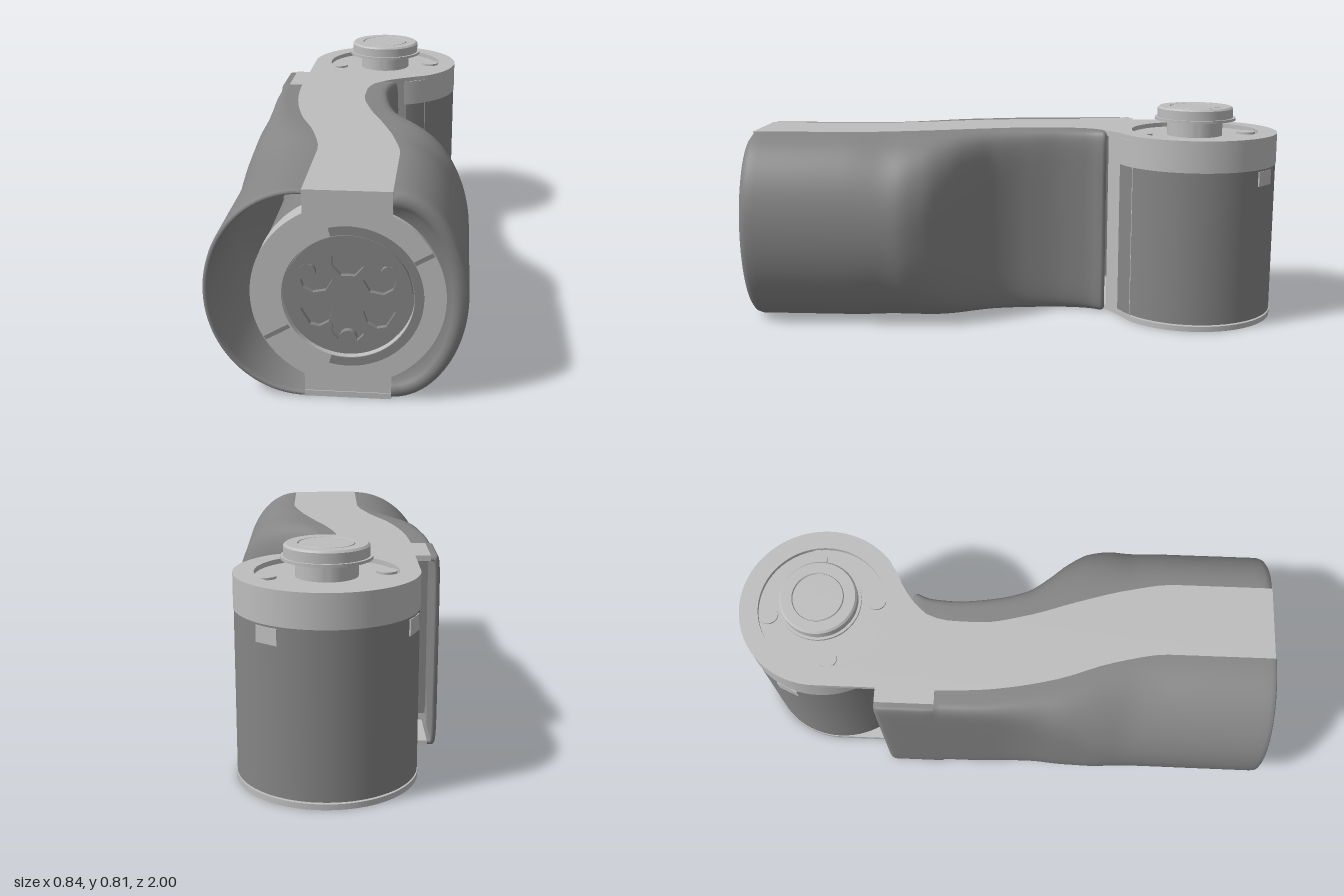
import * as THREE from 'three';
import { toCreasedNormals } from 'three/addons/utils/BufferGeometryUtils.js';

const mat = (name, color, side = THREE.FrontSide) => {
  const m = new THREE.MeshStandardMaterial({ color, side });
  m.name = name;
  return m;
};
const light = mat('light grey frame', 0xbdbdbd);
const dark = mat('mid grey', 0x858585);
const shellGrey = mat('mid grey shell', 0x858585, THREE.DoubleSide);

const MID = 0.356, TOP = 0.712;          // body mid height and top
const RX = 0.04, RZ = -0.69, R = 0.31;   // rear motor axis and motor radius

// Smooth curve through [z, value] pairs, without overshoot
function curve(table) {
  const n = table.length;
  const d = (i) => (table[i + 1][1] - table[i][1]) / (table[i + 1][0] - table[i][0]);
  const slope = (i) => (i === 0 || i === n - 1 || d(i - 1) * d(i) <= 0 ? 0 : 2 * d(i - 1) * d(i) / (d(i - 1) + d(i)));
  return (z) => {
    if (z <= table[0][0]) return table[0][1];
    if (z >= table[n - 1][0]) return table[n - 1][1];
    let i = 0;
    while (z > table[i + 1][0]) i++;
    const h = table[i + 1][0] - table[i][0], t = (z - table[i][0]) / h;
    const a = 2 * t ** 3 - 3 * t * t + 1, b = t ** 3 - 2 * t * t + t, c = t ** 3 - t * t;
    return a * table[i][1] + (1 - a) * table[i + 1][1] + h * (b * slope(i) + c * slope(i + 1));
  };
}

// Plan-view edges of the spine, outer silhouettes and section squareness
const spineRight = curve([[-0.36, 0.085], [-0.32, 0.035], [-0.21, 0.002], [-0.1, 0], [0.08, 0.035], [0.26, 0.095], [0.45, 0.15], [0.63, 0.18], [1, 0.18]]);
const spineLeft = curve([[-0.25, -0.272], [-0.1, -0.265], [0.02, -0.25], [0.2, -0.21], [0.4, -0.14], [0.61, -0.1], [1, -0.1]]);
const outerRight = curve([[-0.355, 0.125], [-0.29, 0.105], [-0.19, 0.1], [-0.05, 0.12], [0.07, 0.165], [0.16, 0.245], [0.23, 0.32], [0.32, 0.39], [0.42, 0.42], [1, 0.42]]);
const outerLeft = curve([[-0.47, -0.36], [0, -0.362], [0.1, -0.37], [0.26, -0.4], [0.4, -0.42], [1, -0.422]]);
const squareness = curve([[-0.15, 8], [0.15, 4], [0.5, 2], [1, 2]]);

// Shell lofted through [z, inset] stations; the inset folds the rims inward
function shell(stations, inner, outer) {
  const SEG = 48, pos = [], idx = [];
  stations.forEach(([z, inset], s) => {
    const xs = inner(z), w = outer(z) - xs, p = 2 / squareness(z);
    const a = Math.sign(w) * Math.max(Math.abs(w) - inset, 0.003), b = MID - inset;
    for (let i = 0; i <= SEG; i++) {
      const t = Math.PI * (0.5 - i / SEG), c = Math.max(Math.cos(t), 0), sn = Math.sin(t);
      pos.push(xs + a * c ** p, MID + b * Math.sign(sn) * Math.abs(sn) ** p, z);
      if (s && i) {
        const k = s * (SEG + 1) + i, j = k - SEG - 1;
        if (w > 0) idx.push(j - 1, j, k, j - 1, k, k - 1);
        else idx.push(j - 1, k, j, j - 1, k - 1, k);
      }
    }
  });
  const g = new THREE.BufferGeometry();
  g.setAttribute('position', new THREE.Float32BufferAttribute(pos, 3));
  g.setIndex(idx);
  g.computeVertexNormals();
  return g;
}
const range = (from, to, n) => Array.from({ length: n + 1 }, (_, i) => [from + (to - from) * i / n, 0]);

const extrude = (shape, depth) =>
  toCreasedNormals(new THREE.ExtrudeGeometry(shape, { depth, bevelEnabled: false, curveSegments: 64 }), 0.5);
const circlePath = (x, y, r) => new THREE.Path().absarc(x, y, r, 0, Math.PI * 2, true);

function add(parent, name, geometry, material, x = 0, y = 0, z = 0) {
  const m = new THREE.Mesh(geometry, material);
  m.name = name;
  m.position.set(x, y, z);
  parent.add(m);
  return m;
}
const disc = (r, h) => new THREE.CylinderGeometry(r, r, h, 72);

// Spine plate seen from above, ending in the round rear motor seat
function spinePlate(hole) {
  const s = new THREE.Shape();
  s.moveTo(-0.1, 0.995);
  for (let z = 0.95; z > -0.25; z -= 0.05) s.lineTo(spineLeft(z), z);
  s.lineTo(-0.272, -0.25);
  s.lineTo(-0.325, -0.25);
  s.lineTo(-0.325, -0.468);
  s.lineTo(RX - R, -0.468);
  s.lineTo(RX - R, RZ);
  s.absarc(RX, RZ, R, Math.PI, Math.PI * 2 + 0.9, false);
  s.quadraticCurveTo(0.14, -0.4, 0.085, -0.36);
  for (let z = -0.34; z < 0.95; z += 0.04) s.lineTo(spineRight(z), z);
  s.lineTo(0.18, 0.995);
  s.holes.push(circlePath(RX, RZ, hole));
  return extrude(s, 0.02).rotateX(Math.PI / 2);
}

// Motor hub facing +z: disc with six pockets, back plate and three pins
function motorHub(name) {
  const g = new THREE.Group();
  g.name = name;
  const face = new THREE.Shape().absarc(0, 0, 0.204, 0, Math.PI * 2, false);
  const outline = [[0.068, -0.022], [0.1, -0.05], [0.135, -0.05], [0.157, -0.03], [0.157, 0.03], [0.135, 0.05], [0.1, 0.05], [0.068, 0.022]];
  for (let i = 0; i < 6; i++) {
    const a = Math.PI / 6 + i * Math.PI / 3, c = Math.cos(a), s = Math.sin(a);
    face.holes.push(new THREE.Path(outline.map(([r, t]) => new THREE.Vector2(r * c - t * s, r * s + t * c)).reverse()));
    if (i % 2 === 0) add(g, 'hubPin', disc(0.028, 0.024).rotateX(Math.PI / 2), dark, 0.15 * c, 0.15 * s, -0.01);
  }
  add(g, 'hubFace', extrude(face, 0.018), dark, 0, 0, -0.018);
  add(g, 'hubBack', disc(0.212, 0.01).rotateX(Math.PI / 2), dark, 0, 0, -0.024);
  return g;
}

export function createModel() {
  const model = new THREE.Group();
  model.name = 'armLink';

  // Spine plates, above and below
  add(model, 'topSpine', spinePlate(0.24), light, 0, TOP, 0);
  add(model, 'bottomSpine', spinePlate(0.21), light, 0, 0.02, 0);

  // Side shells: closed nose on one side, open rim on the other
  add(model, 'rightShell', shell([
    [0.955, 0.235], [0.97, 0.1], [0.982, 0.062], [0.993, 0.05], [1, 0.035], [0.997, 0.018], [0.988, 0.006], [0.97, 0],
    ...range(0.94, -0.335, 56), [-0.345, 0.004], [-0.352, 0.012], [-0.35, 0.022], [-0.3, 0.022],
  ], spineRight, outerRight), shellGrey);
  const leftInner = (z) => (z < -0.25 ? -0.325 : spineLeft(z));
  add(model, 'leftShell', shell([
    [-0.24, 0.018], [0.1, 0.018], [0.3, 0.018], [0.5, 0.018], [0.98, 0.018], [0.997, 0.014], [1, 0.008], [0.995, 0.002], [0.98, 0],
    ...range(0.95, -0.249, 50), ...range(-0.251, -0.45, 5), [-0.462, 0.004], [-0.47, 0.012], [-0.468, 0.02], [-0.3, 0.02],
  ], leftInner, outerLeft), shellGrey);

  // Front frame: ring joined to an upright band
  const a = Math.acos(0.14 / R), frame = new THREE.Shape();
  frame.moveTo(-0.1, 0.002);
  frame.lineTo(0.18, 0.002);
  frame.absarc(RX, MID, R, -a, a, false);
  frame.lineTo(0.18, TOP - 0.002);
  frame.lineTo(-0.1, TOP - 0.002);
  frame.absarc(RX, MID, R, Math.PI - a, Math.PI + a, false);
  frame.holes.push(circlePath(RX, MID, 0.21));
  add(model, 'frontFrame', extrude(frame, 0.09), light, 0, 0, 0.902);
  add(model, 'frontMotorBody', disc(0.305, 0.45).rotateX(Math.PI / 2), dark, RX, MID, 0.69);
  const hub = motorHub('frontHub');
  hub.position.set(RX, MID, 0.982);
  model.add(hub);

  // Dark half ring and two seams on the front frame
  const half = Math.PI / 2 + 0.25;
  const band = new THREE.Shape().absarc(0, 0, 0.24, -half, half, false);
  band.absarc(0, 0, 0.211, half, -half, true);
  add(model, 'frontHalfRing', extrude(band, 0.004), dark, RX, MID, 0.991);
  for (const [ang, r] of [[Math.PI / 6, 0.275], [Math.PI * 7 / 6, 0.262]]) {
    const seam = add(model, 'frameSeam', new THREE.BoxGeometry(r === 0.275 ? 0.066 : 0.09, 0.014, 0.004), dark,
      RX + r * Math.cos(ang), MID + r * Math.sin(ang), 0.992);
    seam.rotation.z = ang;
  }

  // Rear motor
  add(model, 'rearMotorBody', disc(0.308, 0.57), dark, RX, 0.31, RZ);
  add(model, 'rearMotorCap', disc(R, 0.1), light, RX, 0.645, RZ);
  const under = motorHub('rearHub');
  under.rotation.x = Math.PI / 2;
  under.position.set(RX, 0.006, RZ);
  model.add(under);
  for (const deg of [204, 308]) {
    const t = deg * Math.PI / 180;
    const tab = add(model, 'motorTab', new THREE.BoxGeometry(0.008, 0.055, 0.085), light,
      RX + 0.306 * Math.cos(t), 0.56, RZ + 0.306 * Math.sin(t));
    tab.rotation.y = -t;
  }

  // Screw bosses in the recess of the rear seat
  for (let i = 0; i < 4; i++) {
    const t = 0.18 + i * Math.PI / 2;
    add(model, 'screwBoss', disc(0.036, 0.008), light, RX + 0.203 * Math.cos(t), 0.699, RZ - 0.203 * Math.sin(t));
  }

  // Output shaft with flange
  const profile = [[0, 0.69], [0.105, 0.69], [0.105, 0.754], [0.153, 0.754], [0.153, 0.764], [0.143, 0.764], [0.143, 0.798],
    [0.136, 0.805], [0.097, 0.805], [0.094, 0.8], [0.091, 0.805], [0, 0.805]].map(([r, y]) => new THREE.Vector2(r, y));
  add(model, 'outputShaft', toCreasedNormals(new THREE.LatheGeometry(profile, 72), 0.5), light, RX, 0, RZ);

  // Upright wall where the neck meets the right shell
  const wall = new THREE.Shape();
  wall.moveTo(0.23, -0.447);
  wall.quadraticCurveTo(0.14, -0.4, 0.085, -0.36);
  wall.lineTo(0.07, -0.375);
  wall.quadraticCurveTo(0.12, -0.41, 0.2, -0.46);
  add(model, 'neckWall', extrude(wall, 0.68).rotateX(Math.PI / 2), light, 0, 0.7, 0);

  // Ribs and rail inside the open left side
  for (const [y0, y1] of [[0.45, 0.54], [0.18, 0.265], [0.075, 0.13], [0.6, 0.635]]) {
    add(model, 'innerRib', new THREE.BoxGeometry(0.26, y1 - y0, 0.08), dark, -0.21, (y0 + y1) / 2, -0.14);
  }
  add(model, 'innerRail', new THREE.BoxGeometry(0.035, 0.64, 0.05), dark, -0.322, MID, -0.2);
  return model;
}
